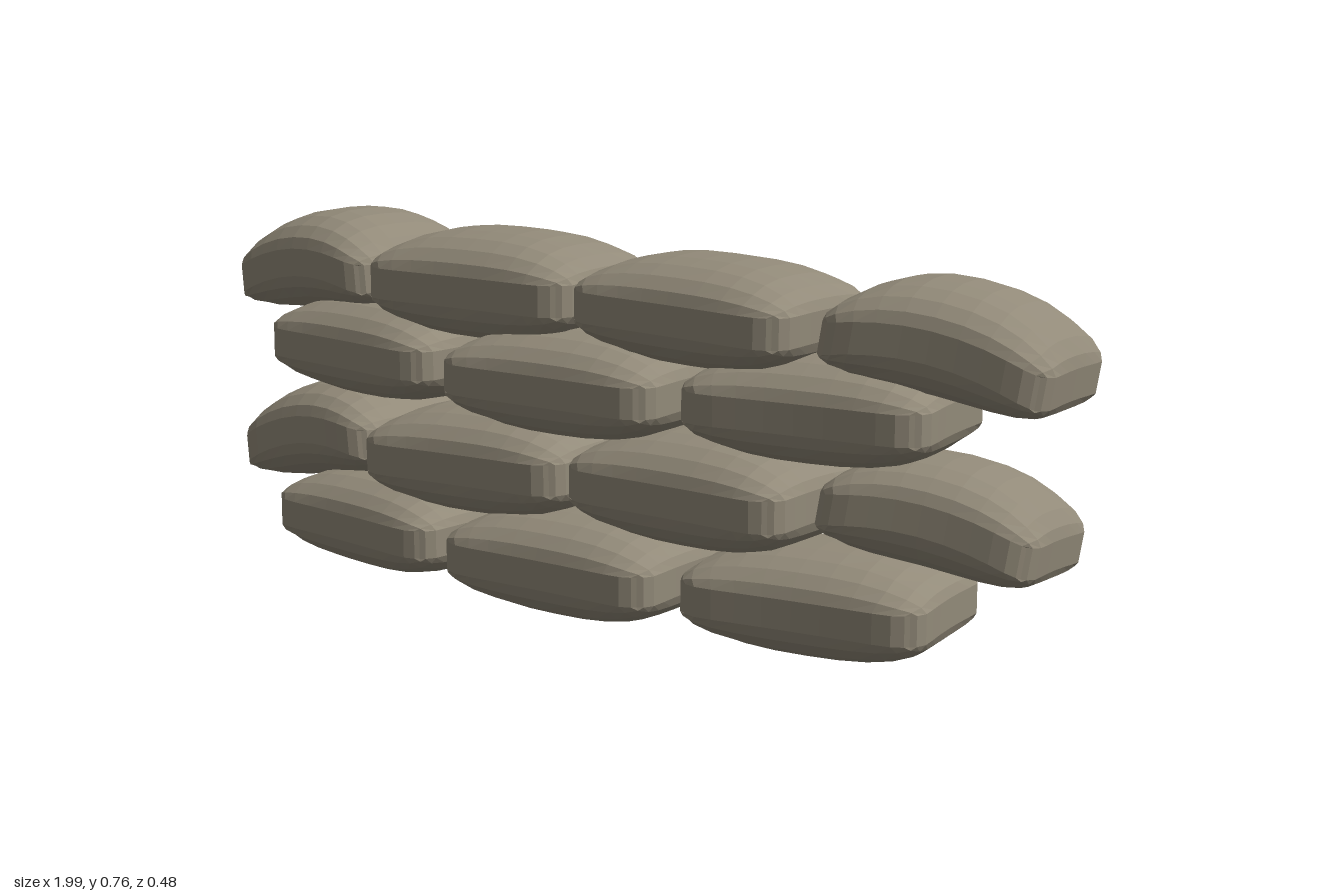
import * as THREE from 'three';

// Pillow-shaped bag: flat belt around the rim, domed top and bottom, optional droop of both ends
function bagGeometry(halfX, halfY, halfZ, droop) {
  const geo = new THREE.BoxGeometry(2, 2, 2, 12, 1, 10);
  const p = geo.attributes.position;
  const belt = 0.28;
  for (let i = 0; i < p.count; i++) {
    const u = Math.sin(p.getX(i) * Math.PI / 2);
    const v = Math.sin(p.getZ(i) * Math.PI / 2);
    const fu = Math.max(0, 1 - Math.abs(u) ** 2.6);
    const fv = Math.max(0, 1 - Math.abs(v) ** 2.6);
    const dome = belt + (1 - belt) * (fu * fv) ** 0.55;
    // sides pinch in slightly, corners are rounded off
    const x = halfX * u * (0.97 + 0.04 * v * v - 0.1 * v ** 12);
    const z = halfZ * v * (0.97 + 0.04 * u * u - 0.13 * u ** 12);
    p.setXYZ(i, x, Math.sign(p.getY(i)) * halfY * dome - droop * u * u, z);
  }
  const faceted = geo.toNonIndexed();
  faceted.computeVertexNormals();
  return faceted;
}

export function createModel() {
  const group = new THREE.Group();
  group.name = 'sandbagWall';
  const canvas = new THREE.MeshStandardMaterial({ color: 0x928a79 });
  canvas.name = 'drab canvas';

  // x, y, z, halfLength, halfHeight, yaw, tilt, droop, roll
  const courses = [
    [
      [-0.59, 0.104, 0.01, 0.25, 0.104, -0.13, 0, 0, 0],
      [-0.04, 0.106, 0.07, 0.26, 0.106, 0.01, 0, 0, 0],
      [0.50, 0.105, 0.01, 0.257, 0.105, 0.13, 0, 0, 0],
    ],
    [
      [-0.755, 0.28, -0.03, 0.225, 0.104, -0.15, 0.18, 0.04, -0.05],
      [-0.275, 0.284, 0.05, 0.257, 0.112, 0.03, 0.02, 0, 0],
      [0.257, 0.293, 0.05, 0.257, 0.111, -0.02, 0, 0, 0],
      [0.735, 0.295, -0.045, 0.22, 0.105, 0.14, -0.13, 0.03, -0.1],
    ],
    [
      [-0.595, 0.478, 0.01, 0.255, 0.106, -0.13, 0, 0, 0],
      [-0.04, 0.474, 0.07, 0.26, 0.108, 0.02, 0, 0, 0],
      [0.50, 0.477, 0.01, 0.257, 0.106, 0.13, 0, 0, 0],
    ],
    [
      [-0.765, 0.65, -0.04, 0.225, 0.105, -0.15, 0.11, 0.04, 0],
      [-0.268, 0.643, 0.035, 0.257, 0.112, 0.03, 0, 0, 0],
      [0.257, 0.638, 0.037, 0.253, 0.106, -0.02, -0.02, 0, 0],
      [0.752, 0.625, -0.035, 0.23, 0.108, 0.13, -0.15, 0.035, -0.04],
    ],
  ];

  courses.forEach((bags, row) => {
    const course = new THREE.Group();
    course.name = `course${row + 1}`;
    bags.forEach(([x, y, z, hx, hy, yaw, tilt, droop, roll], i) => {
      const bag = new THREE.Mesh(bagGeometry(hx, hy, 0.172, droop), canvas);
      bag.name = `sandbag${row + 1}_${i + 1}`;
      bag.position.set(x, y, z);
      bag.rotation.set(roll, yaw, tilt, 'YZX');
      course.add(bag);
    });
    group.add(course);
  });
  return group;
}
